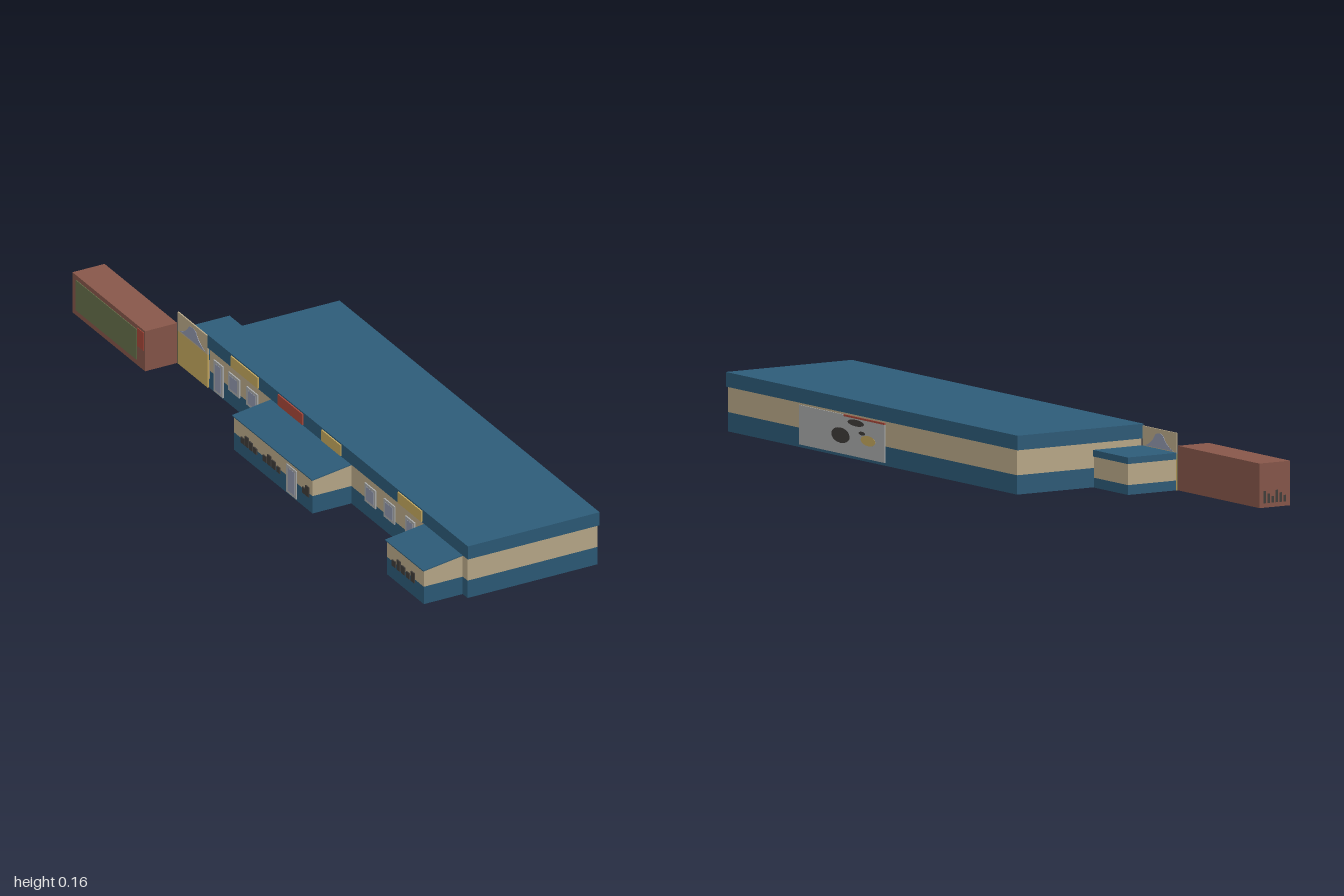
import * as THREE from 'three';

const mat = (name, color) => {
  const m = new THREE.MeshStandardMaterial({ color, side: THREE.DoubleSide });
  m.name = name;
  return m;
};

export function createModel() {
  const root = new THREE.Group();
  const blue = mat('blue paint', 0x2d5c79);
  const tan = mat('tan wall', 0xbcab8b);
  const grey = mat('mural grey', 0xabadad);
  const brown = mat('container brown', 0x88574a);
  const olive = mat('olive panel', 0x66704a);
  const sand = mat('sand yellow', 0xc6a95f);
  const red = mat('red sign', 0xa8483a);
  const dark = mat('dark figure', 0x403d3a);
  const lilac = mat('window glass', 0x9298ae);

  const group = (name) => {
    const g = new THREE.Group();
    g.name = name;
    root.add(g);
    return g;
  };
  const add = (parent, name, geo, m) => {
    const mesh = new THREE.Mesh(geo, m);
    mesh.name = name;
    parent.add(mesh);
    return mesh;
  };
  // Box given by its limits
  const box = (parent, name, m, x0, x1, y0, y1, z0, z1) => {
    const mesh = add(parent, name, new THREE.BoxGeometry(x1 - x0, y1 - y0, z1 - z0), m);
    mesh.position.set((x0 + x1) / 2, (y0 + y1) / 2, (z0 + z1) / 2);
    return mesh;
  };
  // Thin plate on a side wall
  const plate = (parent, name, m, x, y0, y1, z0, z1, t = 0.008) =>
    box(parent, name, m, x - t / 2, x + t / 2, y0, y1, z0, z1);
  // Thin ellipse on a side wall
  const oval = (parent, name, m, x, y, z, ry, rz, t = 0.009) => {
    const g = new THREE.CylinderGeometry(1, 1, t, 20).rotateZ(Math.PI / 2);
    const mesh = add(parent, name, g.scale(1, ry, rz), m);
    mesh.position.set(x, y, z);
    return mesh;
  };
  // Four thin walls, open above and below
  const T = 0.003;
  const ring = (parent, name, m, x0, x1, y0, y1, z0, z1) => {
    box(parent, name, m, x0, x0 + T, y0, y1, z0, z1);
    box(parent, name, m, x1 - T, x1, y0, y1, z0, z1);
    box(parent, name, m, x0 + T, x1 - T, y0, y1, z0, z0 + T);
    box(parent, name, m, x0 + T, x1 - T, y0, y1, z1 - T, z1);
  };

  // Main hall
  const hall = group('mainHall');
  ring(hall, 'lowerWall', blue, -0.141, 0.263, 0, 0.053, -0.427, 0.992);
  ring(hall, 'upperWall', tan, -0.141, 0.263, 0.053, 0.122, -0.427, 0.992);
  box(hall, 'roof', blue, -0.145, 0.265, 0.122, 0.162, -0.432, 1);

  // Rear annex
  const annex = group('rearAnnex');
  ring(annex, 'annexLowerWall', blue, -0.14, 0.016, 0, 0.027, -0.598, -0.43);
  ring(annex, 'annexUpperWall', tan, -0.14, 0.016, 0.027, 0.085, -0.598, -0.43);
  box(annex, 'annexRoof', blue, -0.141, 0.018, 0.085, 0.103, -0.6, -0.43);

  // Side wings with sloping roofs
  const prism = (parent, name, m, pts, z0, z1) => {
    const s = new THREE.Shape(pts.map(([x, y]) => new THREE.Vector2(x, y)));
    const g = new THREE.ExtrudeGeometry(s, { depth: z1 - z0, bevelEnabled: false });
    add(parent, name, g, m).position.z = z0;
  };
  const X = -0.262, XI = -0.141;
  for (const [z0, z1] of [[-0.08, 0.352], [0.762, 0.965]]) {
    const wing = group('sideWing');
    box(wing, 'wingLowerWall', blue, X, X + T, 0, 0.053, z0, z1);
    box(wing, 'wingUpperWall', tan, X, X + T, 0.053, 0.104, z0, z1);
    for (const z of [z0, z1 - T]) {
      box(wing, 'wingLowerEnd', blue, X + T, XI, 0, 0.053, z, z + T);
      prism(wing, 'wingUpperEnd', tan, [[X, 0.053], [XI, 0.053], [XI, 0.12], [X, 0.103]], z, z + T);
    }
    prism(wing, 'wingRoof', blue,
      [[-0.266, 0.102], [XI, 0.119], [XI, 0.122], [-0.266, 0.105]], z0 - 0.004, z1 + 0.004);
  }

  // Painted murals on both long walls
  const mural = (x, zc, d) => {
    const g = group('mural');
    plate(g, 'muralGround', grey, x, 0.008, 0.116, zc - 0.21, zc + 0.21);
    oval(g, 'largeFigure', dark, x, 0.058, zc + d * 0.005, 0.021, 0.045);
    oval(g, 'yellowFigure', sand, x, 0.058, zc - d * 0.13, 0.014, 0.036);
    oval(g, 'smallFigure', dark, x, 0.1, zc - d * 0.07, 0.009, 0.04);
    oval(g, 'darkAccent', dark, x, 0.075, zc - d * 0.1, 0.005, 0.016);
    const zr = zc - d * 0.11;
    plate(g, 'redStrip', red, x, 0.112, 0.117, zr - 0.1, zr + 0.1, 0.009);
  };
  mural(0.262, 0.43, 1);
  mural(-0.14, 0.135, -1);

  // Landscape screen beside the annex
  const screen = group('landscapeScreen');
  plate(screen, 'screenLower', sand, -0.143, 0, 0.1, -0.598, -0.432, 0.004);
  plate(screen, 'screenSky', tan, -0.143, 0.1, 0.157, -0.598, -0.432, 0.004);
  const hill = new THREE.Shape();
  hill.moveTo(-0.07, 0.105);
  hill.quadraticCurveTo(-0.035, 0.115, -0.02, 0.14);
  hill.quadraticCurveTo(0, 0.152, 0.02, 0.14);
  hill.quadraticCurveTo(0.035, 0.115, 0.07, 0.105);
  const hillGeo = new THREE.ExtrudeGeometry(hill, { depth: 0.006, bevelEnabled: false });
  const hillMesh = add(screen, 'hill', hillGeo.rotateY(Math.PI / 2), lilac);
  hillMesh.position.set(-0.146, 0, -0.515);

  // Signs along the roof edge
  const signs = group('roofSigns');
  for (const [m, z0, z1] of [[sand, -0.3, -0.15], [red, -0.04, 0.095], [sand, 0.2, 0.305], [sand, 0.62, 0.75]])
    plate(signs, 'roofSign', m, -0.146, 0.125, 0.158, z0, z1, 0.006);

  // Windows and doors
  const openings = group('windowsAndDoors');
  const opening = (name, x, z, w, y0, y1) => {
    plate(openings, name + 'Frame', grey, x, y0, y1, z - w / 2, z + w / 2);
    plate(openings, name + 'Pane', lilac, x, y0 + 0.008, y1 - 0.008, z - w / 2 + 0.01, z + w / 2 - 0.01, 0.0095);
  };
  for (const z of [-0.29, -0.19, 0.46, 0.565]) opening('window', XI, z, 0.06, 0.045, 0.1);
  for (const z of [-0.375, 0.68]) opening('door', XI, z, 0.05, 0.005, 0.1);
  opening('door', X + 0.001, 0.24, 0.055, 0.005, 0.09);

  // Clusters of dark figures on the wing fronts
  const figures = group('wallFigures');
  const cluster = (z0, z1, n) => {
    for (let i = 0; i < n; i++) {
      const z = z0 + (z1 - z0) * (i + 0.5) / n;
      const h = 0.018 + 0.012 * ((i * 2) % 3) / 2;
      plate(figures, 'figure', dark, X, 0.042, 0.042 + h, z - 0.009, z + 0.009, 0.007);
    }
  };
  cluster(-0.04, 0.05, 4);
  cluster(0.08, 0.18, 4);
  cluster(0.3, 0.335, 2);
  cluster(0.79, 0.92, 5);

  // Storage container
  const container = group('container');
  box(container, 'containerBody', brown, -0.245, -0.145, 0, 0.122, -1, -0.6);
  plate(container, 'olivePanel', olive, -0.245, 0.016, 0.108, -0.98, -0.645, 0.004);
  plate(container, 'redPanel', red, -0.245, 0.06, 0.115, -0.64, -0.605, 0.004);
  for (let i = 0; i < 6; i++) {
    const x = -0.23 + i * 0.013;
    box(container, 'endFigure', dark, x, x + 0.007, 0.012, 0.03 + 0.008 * (i % 3), -1.001, -0.998);
  }
  return root;
}
